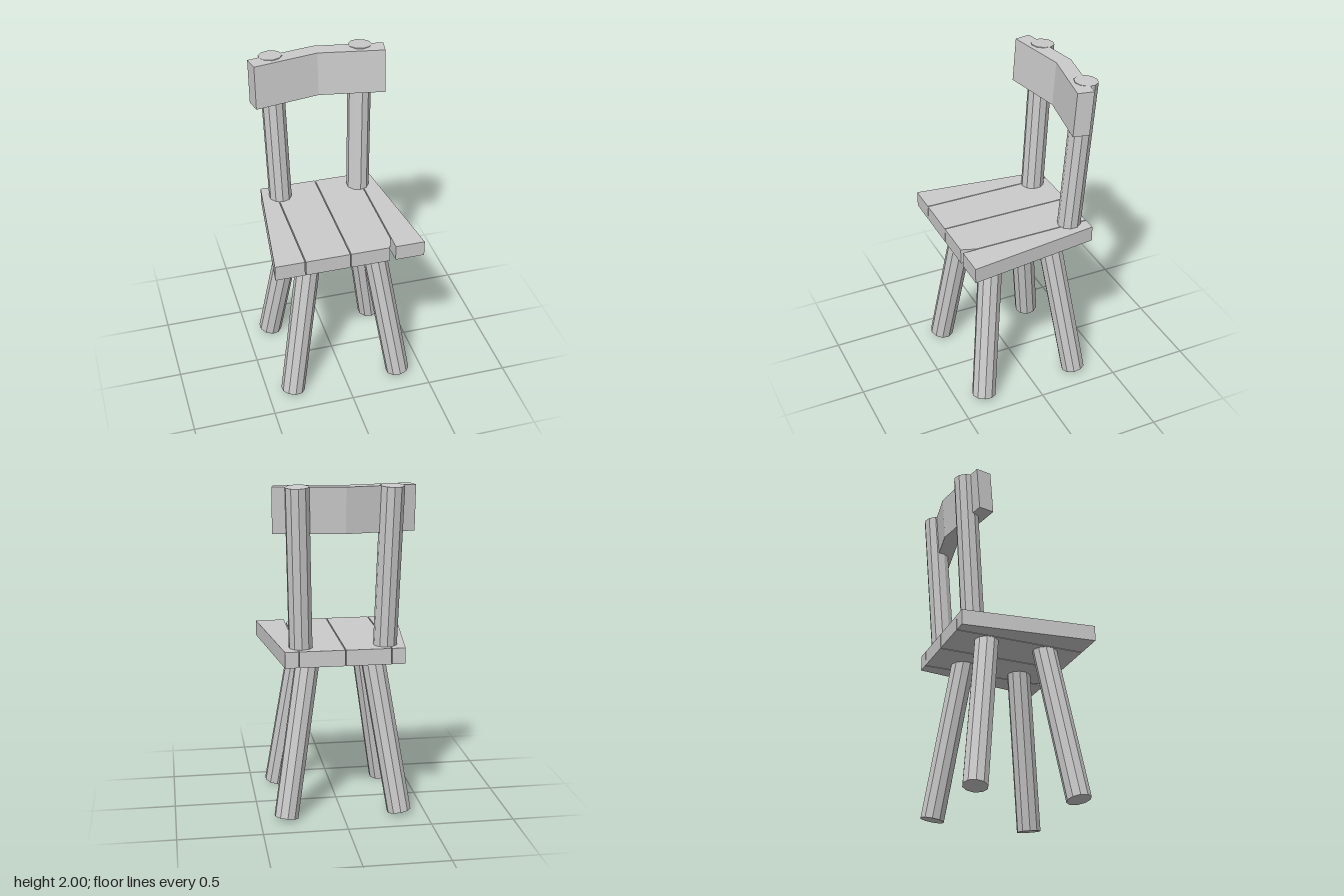
import * as THREE from 'three';

const material = new THREE.MeshStandardMaterial({ color: 0xcccccc, flatShading: true });

function addMesh(parent, name, geometry) {
  const mesh = new THREE.Mesh(geometry, material);
  mesh.name = name;
  parent.add(mesh);
  return mesh;
}

// Ten-sided round pole running between two points
function addPole(parent, name, from, to, radius) {
  const a = new THREE.Vector3(...from);
  const b = new THREE.Vector3(...to);
  const dir = b.clone().sub(a);
  const pole = addMesh(parent, name, new THREE.CylinderGeometry(radius, radius, dir.length(), 10));
  pole.position.copy(a).add(b).multiplyScalar(0.5);
  pole.quaternion.setFromUnitVectors(new THREE.Vector3(0, 1, 0), dir.normalize());
}

// Flat slab from a plan outline of [x, z] points, between heights y0 and y1
function slab(outline, y0, y1) {
  const shape = new THREE.Shape(outline.map(([x, z]) => new THREE.Vector2(x, -z)));
  const geometry = new THREE.ExtrudeGeometry(shape, { depth: y1 - y0, bevelEnabled: false });
  return geometry.rotateX(-Math.PI / 2).translate(0, y0, 0);
}

export function createModel() {
  const chair = new THREE.Group();
  chair.name = 'chair';

  // Four seat planks, separated by narrow gaps; one has a chipped front corner
  const front = 0.415, back = -0.385, gap = 0.003;
  const planks = {
    rightOuterPlank: [[-0.45, front], [-0.27 - gap, front], [-0.27 - gap, back], [-0.35, back]],
    rightInnerPlank: [[-0.27 + gap, front], [-gap, front], [-gap, back], [-0.27 + gap, back]],
    leftInnerPlank: [[gap, front], [0.237, front], [0.27 - gap, 0.33], [0.27 - gap, back], [gap, back]],
    leftOuterPlank: [[0.27 + gap, front], [0.45, front], [0.35, back], [0.27 + gap, back]],
  };
  const seat = new THREE.Group();
  seat.name = 'seat';
  chair.add(seat);
  for (const [name, outline] of Object.entries(planks)) addMesh(seat, name, slab(outline, 0.965, 1.06));

  // Splayed legs and back posts on both sides
  for (const [side, s] of [['left', 1], ['right', -1]]) {
    addPole(chair, side + 'FrontLeg', [s * 0.343, 0.016, 0.33], [s * 0.19, 0.985, 0.203], 0.073);
    addPole(chair, side + 'BackLeg', [s * 0.343, 0.016, -0.29], [s * 0.19, 0.985, -0.167], 0.073);
    addPole(chair, side + 'BackPost', [s * 0.247, 1.0, -0.276], [s * 0.27, 1.995, -0.347], 0.07);
  }

  // Bent backrest, leaning back towards the top
  const y0 = 1.73, y1 = 1.995;
  const backrest = slab(
    [[-0.39, -0.21], [0, -0.28], [0.39, -0.21], [0.408, -0.305], [0, -0.375], [-0.408, -0.305]], y0, y1);
  const p = backrest.attributes.position;
  for (let i = 0; i < p.count; i++) {
    p.setZ(i, p.getZ(i) - 0.02 * (p.getY(i) - y0) / (y1 - y0));
  }
  backrest.computeVertexNormals();
  addMesh(chair, 'backrest', backrest);

  return chair;
}
